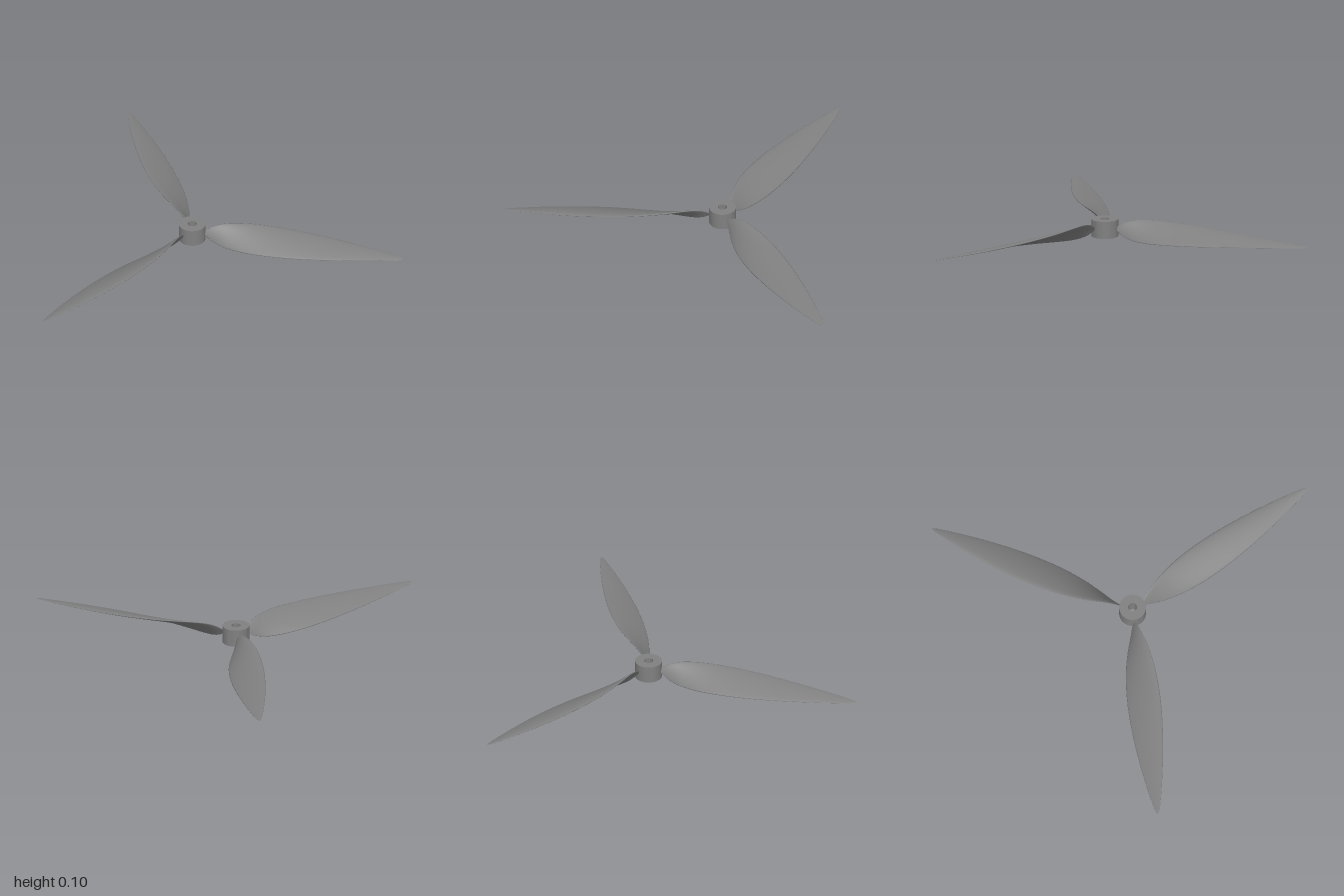
import * as THREE from 'three';
import { toCreasedNormals } from 'three/addons/utils/BufferGeometryUtils.js';

const MID = 0.05;      // height of the blade axis
const AROUND = 24;     // points around each blade section
const ALONG = 56;      // sections along each blade

// Blade stations: radius, half extent across (z), half extent in height (y)
const STATIONS = [
  [0.06, 0.004, 0.006], [0.075, 0.008, 0.014], [0.1, 0.017, 0.03],
  [0.14, 0.03, 0.043], [0.19, 0.046, 0.049], [0.29, 0.069, 0.048],
  [0.39, 0.082, 0.042], [0.49, 0.087, 0.036], [0.59, 0.086, 0.03],
  [0.69, 0.08, 0.024], [0.79, 0.07, 0.0185], [0.89, 0.057, 0.0135],
  [0.99, 0.041, 0.009], [1.09, 0.022, 0.0045], [1.135, 0.011, 0.0025], [1.155, 0.001, 0.0003],
];

// Twisted, slightly cambered blade lofted along +x
function bladeGeometry() {
  const curve = new THREE.CatmullRomCurve3(STATIONS.map((s) => new THREE.Vector3(...s)));
  const positions = [];
  const indices = [];
  curve.getPoints(ALONG).forEach(({ x: r, y: across, z: rise }, i) => {
    for (let j = 0; j < AROUND; j++) {
      const a = (j / AROUND) * Math.PI * 2;
      const u = Math.cos(a);
      const s = Math.sin(a);
      const n = 0.09 * s * (1 - 0.35 * u) + 0.06 * (s * s - 0.5);
      positions.push(r, MID - u * rise + n * across, u * across + n * rise);
      if (i < ALONG) {
        const k = (j + 1) % AROUND;
        const p = i * AROUND;
        const q = p + AROUND;
        indices.push(p + j, q + j, q + k, p + j, q + k, p + k);
      }
    }
  });
  const geometry = new THREE.BufferGeometry();
  geometry.setAttribute('position', new THREE.Float32BufferAttribute(positions, 3));
  geometry.setIndex(indices);
  geometry.computeVertexNormals();
  return geometry;
}

// Cylindrical hub with a through bore
function hubGeometry() {
  const [inner, outer, low, high] = [0.024, 0.071, 0.004, 0.097];
  const profile = [[inner, high], [inner, low], [outer, low], [outer, high], [inner, high]];
  const lathe = new THREE.LatheGeometry(profile.map((p) => new THREE.Vector2(...p)), 48);
  return toCreasedNormals(lathe, Math.PI / 5);
}

export function createModel() {
  const model = new THREE.Group();
  model.name = 'propeller';
  const material = new THREE.MeshStandardMaterial({ color: 0x808080 });

  const rotor = new THREE.Group();
  rotor.name = 'rotor';
  rotor.position.x = -0.289;
  model.add(rotor);

  const hub = new THREE.Mesh(hubGeometry(), material);
  hub.name = 'hub';
  rotor.add(hub);

  // Three equal blades
  const blade = bladeGeometry();
  for (let i = 0; i < 3; i++) {
    const mesh = new THREE.Mesh(blade, material);
    mesh.name = `blade${i + 1}`;
    mesh.rotation.y = (i * Math.PI * 2) / 3;
    rotor.add(mesh);
  }
  return model;
}
